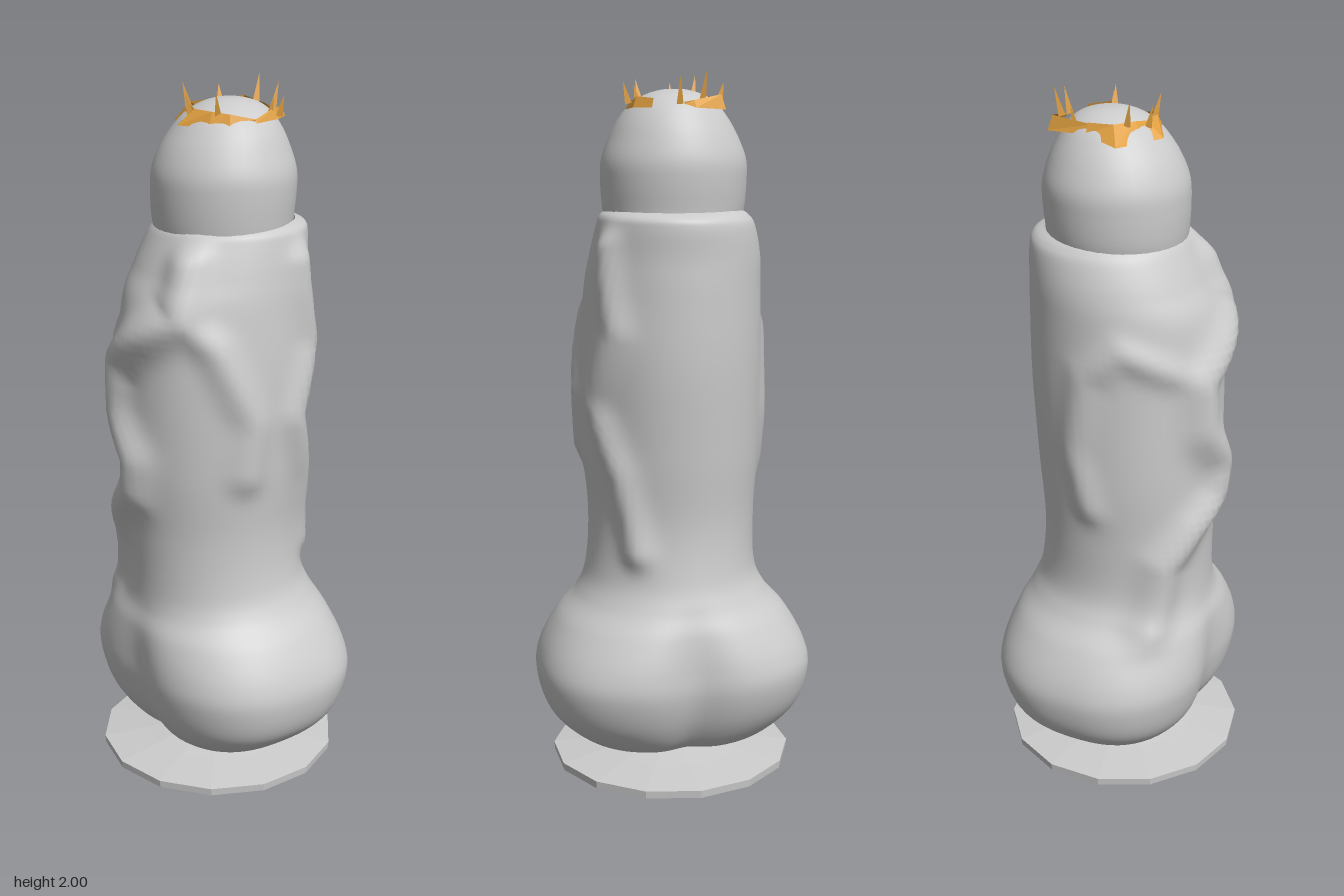
import * as THREE from 'three';

const grey = new THREE.MeshStandardMaterial({ color: 0xcccccc, side: THREE.DoubleSide });
const gold = new THREE.MeshStandardMaterial({ color: 0xe0a040, side: THREE.DoubleSide, flatShading: true });

// Smooth loft through rings [y, centreX, centreZ, radiusX, radiusZ]; shape(angle, y) returns a
// scale and a bump that is added outwards.
function loft(rings, rows, sides, shape) {
  const curves = [1, 2, 3, 4].map(k =>
    new THREE.SplineCurve(rings.map(r => new THREE.Vector2(r[0], r[k]))));
  const pos = [], index = [];
  for (let i = 0; i <= rows; i++) {
    const p = curves.map(c => c.getPoint(i / rows));
    const y = p[0].x, [cx, cz, rx, rz] = p.map(v => v.y);
    for (let j = 0; j < sides; j++) {
      const a = (j / sides) * Math.PI * 2, { scale, bump } = shape(a, y);
      pos.push(cx + Math.sin(a) * (rx * scale + bump), y, cz + Math.cos(a) * (rz * scale + bump));
      if (i < rows) {
        const a0 = i * sides + j, b0 = i * sides + (j + 1) % sides;
        index.push(a0, b0, a0 + sides, b0, b0 + sides, a0 + sides);
      }
    }
  }
  const g = new THREE.BufferGeometry();
  g.setAttribute('position', new THREE.Float32BufferAttribute(pos, 3));
  g.setIndex(index);
  g.computeVertexNormals();
  return g;
}

// Raised ridges: paths of [angle, y] with a height and width
const ridges = [
  { h: 0.045, w: 0.055, path: [[0.55, 1.54], [0.62, 1.4], [0.1, 1.33], [-0.35, 1.25], [-0.3, 1.1],
    [0.05, 0.98], [0, 0.88], [-0.4, 0.8], [-0.75, 0.7], [-0.85, 0.52]] },
  { h: 0.025, w: 0.045, path: [[0.62, 1.4], [1.0, 1.32], [1.4, 1.1], [1.35, 0.95]] },
  { h: 0.02, w: 0.04, path: [[-0.35, 1.25], [-1.2, 1.36], [-1.6, 1.28], [-1.75, 1.05], [-1.6, 0.88]] },
  { h: 0.03, w: 0.045, path: [[2.0, 1.53], [2.25, 1.3], [1.95, 1.1], [2.3, 0.9], [2.5, 0.68]] },
];

function ridgeHeight(angle, y) {
  let best = 0;
  for (const { h, w, path } of ridges) {
    for (let i = 0; i + 1 < path.length; i++) {
      const [a0, y0] = path[i], [a1, y1] = path[i + 1];
      const da = Math.atan2(Math.sin(angle - a0), Math.cos(angle - a0)) * 0.25, dy = y - y0;
      const sa = (a1 - a0) * 0.25, sy = y1 - y0;
      const t = THREE.MathUtils.clamp((da * sa + dy * sy) / (sa * sa + sy * sy), 0, 1);
      const d = Math.hypot(da - t * sa, dy - t * sy);
      best = Math.max(best, h * Math.exp(-((d / w) ** 2)));
    }
  }
  return best;
}

// Lower part is squarer in plan, with a cleft at the front and back
function bodyShape(a, y) {
  const low = 1 - THREE.MathUtils.smoothstep(y, 0.3, 0.58);
  const s = Math.abs(Math.sin(a)), c = Math.abs(Math.cos(a));
  const square = (s ** 2.5 + c ** 2.5) ** (-1 / 2.5);
  const cleft = (Math.cos(a) < 0 ? 0.12 : 0.08) * Math.exp(-((s / 0.22) ** 2));
  return { scale: 1 + low * (square - 1 - cleft), bump: ridgeHeight(a, y) };
}

// Crown fragments: each is a strip of [x, z, bottomY, topY, flare]
const crownPieces = [
  [[0.085, -0.15, 1.9, 1.925, 0.01], [0.12, -0.1, 1.9, 1.93, 0.012], [0.13, -0.03, 1.895, 1.905, 0.005]],
  [[0.13, -0.03, 1.895, 1.905, 0], [0.105, 0.035, 1.89, 1.92, 0.012], [0.065, 0.065, 1.885, 1.925, 0.02],
    [-0.01, 0.07, 1.885, 1.925, 0.05], [-0.05, 0.055, 1.88, 1.93, 0.035], [-0.105, 0.02, 1.88, 1.93, 0.045],
    [-0.115, -0.05, 1.9, 1.93, 0.01]],
  [[-0.11, -0.04, 1.9, 1.925, 0.012], [-0.1, -0.16, 1.895, 1.935, 0.014], [-0.02, -0.175, 1.9, 1.92, 0.015],
    [0.005, -0.17, 1.91, 1.915, 0]],
];
// Crown spikes: [x, z, baseY, tipY]
const crownSpikes = [[-0.12, -0.09, 1.92, 1.97], [-0.08, 0.05, 1.92, 1.99], [-0.02, 0.085, 1.91, 1.97],
  [0.02, -0.18, 1.91, 1.985], [0.08, 0.06, 1.91, 1.98], [0.12, -0.09, 1.91, 1.96],
  [0.15, -0.1, 1.91, 1.97], [-0.05, -0.17, 1.92, 2.0]];
const crownCentre = [0.005, -0.05];

function outward(x, z) {
  const dx = x - crownCentre[0], dz = z - crownCentre[1], l = Math.hypot(dx, dz);
  return [dx / l, dz / l];
}

function crownStrip(points) {
  const pos = [], index = [];
  points.forEach(([x, z, y0, y1, flare], i) => {
    const [ox, oz] = outward(x, z);
    pos.push(x + ox * flare, y0, z + oz * flare, x, y1, z);
    if (i) index.push(2 * i - 2, 2 * i, 2 * i - 1, 2 * i, 2 * i + 1, 2 * i - 1);
  });
  const g = new THREE.BufferGeometry();
  g.setAttribute('position', new THREE.Float32BufferAttribute(pos, 3));
  g.setIndex(index);
  g.computeVertexNormals();
  return g;
}

export function createModel() {
  const model = new THREE.Group();
  const add = (name, geometry, material, parent = model) => {
    const mesh = new THREE.Mesh(geometry, material);
    mesh.name = name;
    parent.add(mesh);
    return mesh;
  };

  // Base: a thin flared foot, hollow underneath
  const foot = [[0, 0.025], [0.2, 0.012], [0.35, 0], [0.352, 0.022], [0.22, 0.04], [0.13, 0.055], [0.12, 0.09]];
  add('base', new THREE.LatheGeometry(foot.map(p => new THREE.Vector2(...p)), 14),
    new THREE.MeshStandardMaterial({ color: 0xcccccc, side: THREE.DoubleSide, flatShading: true }));

  // Body: bulbous lower part running into the column and its shoulder
  add('body', loft([
    [0.05, 0, 0, 0.08, 0.08], [0.065, 0, 0, 0.2, 0.16], [0.1, 0, -0.01, 0.285, 0.23],
    [0.18, 0, -0.012, 0.37, 0.29], [0.28, 0, -0.015, 0.4, 0.322], [0.36, 0, -0.012, 0.388, 0.322],
    [0.45, 0, -0.005, 0.34, 0.302], [0.52, 0, 0, 0.28, 0.272], [0.6, 0, 0.01, 0.248, 0.255],
    [0.75, -0.005, 0.02, 0.242, 0.25], [0.95, -0.003, 0.02, 0.255, 0.265], [1.2, 0, 0.012, 0.258, 0.275],
    [1.4, -0.005, 0.005, 0.25, 0.268], [1.5, -0.008, -0.015, 0.24, 0.245], [1.58, -0.005, -0.035, 0.222, 0.226],
    [1.61, 0, -0.04, 0.207, 0.212], [1.625, 0, -0.035, 0.185, 0.185],
  ], 130, 72, bodyShape), grey);

  // Head: rounded cap above the shoulder
  add('head', loft([
    [1.58, 0, -0.02, 0.19, 0.19], [1.63, -0.003, -0.018, 0.199, 0.195], [1.7, -0.003, -0.02, 0.204, 0.2],
    [1.76, -0.003, -0.022, 0.202, 0.198], [1.82, -0.002, -0.025, 0.18, 0.178], [1.87, 0, -0.03, 0.153, 0.15],
    [1.91, 0, -0.035, 0.12, 0.118], [1.935, 0, -0.04, 0.08, 0.08], [1.948, 0, -0.04, 0.035, 0.035],
    [1.95, 0, -0.04, 0, 0],
  ], 40, 36, () => ({ scale: 1, bump: 0 })), grey);

  // Crown: broken band with thin spikes
  const crown = new THREE.Group();
  crown.name = 'crown';
  model.add(crown);
  crownPieces.forEach(p => add('crownBand', crownStrip(p), gold, crown));
  for (const [x, z, y0, y1] of crownSpikes) {
    const [ox, oz] = outward(x, z);
    const spike = add('crownSpike', new THREE.ConeGeometry(0.011, y1 - y0, 3), gold, crown);
    spike.position.set(x, (y0 + y1) / 2, z);
    spike.rotation.set(oz * 0.25, 0, -ox * 0.25);
  }
  return model;
}
